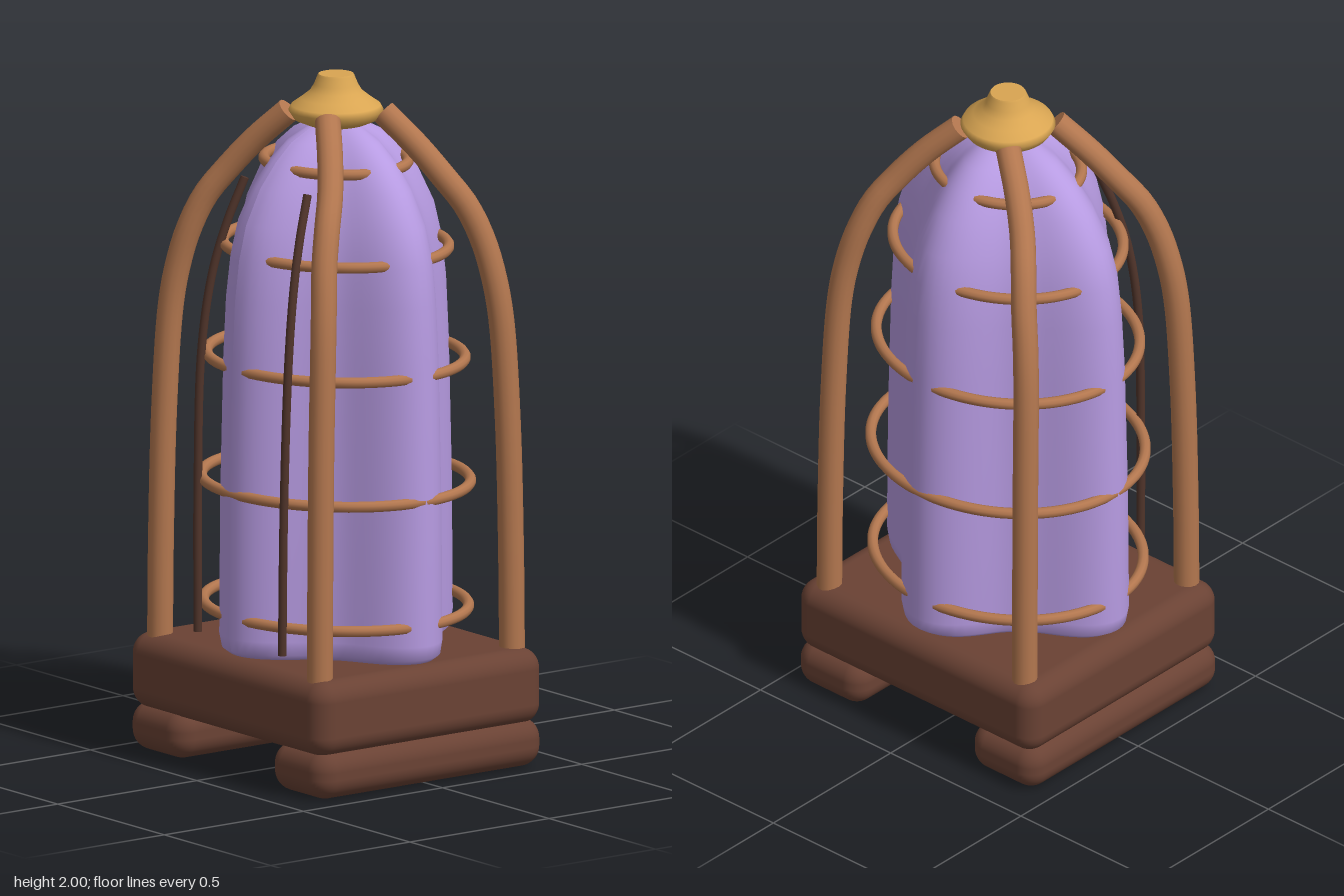
import * as THREE from 'three';
import { RoundedBoxGeometry } from 'three/addons/geometries/RoundedBoxGeometry.js';

const material = (name, color, side = THREE.FrontSide) => {
  const m = new THREE.MeshStandardMaterial({ color, side });
  m.name = name;
  return m;
};

// Smooth curve through [x, y, z] points
const curve = (points) => new THREE.CatmullRomCurve3(points.map((p) => new THREE.Vector3(...p)));

// Four-lobed draped cover: profile rows are [height, half width, half depth]
function coverGeometry() {
  const keys = [
    [0.345, 0, 0], [0.345, 0.4, 0.355], [0.36, 0.422, 0.376], [0.4, 0.43, 0.385], [0.8, 0.426, 0.382],
    [1.2, 0.415, 0.372], [1.38, 0.404, 0.363], [1.5, 0.39, 0.348], [1.6, 0.36, 0.323], [1.7, 0.302, 0.272],
    [1.77, 0.24, 0.215], [1.82, 0.175, 0.16], [1.855, 0.1, 0.09], [1.87, 0, 0],
  ];
  const sides = 96, positions = [], index = [];
  keys.forEach(([y, w, d]) => {
    for (let i = 0; i <= sides; i++) {
      const a = (i / sides) * Math.PI * 2;
      const r = 0.72 + 0.28 * Math.pow((1 + Math.cos(4 * a)) / 2, 1.25);
      positions.push(Math.sin(a) * r * w, y, Math.cos(a) * r * d);
    }
  });
  for (let j = 0; j < keys.length - 1; j++) {
    for (let i = 0; i < sides; i++) {
      const a = j * (sides + 1) + i, b = a + sides + 1;
      index.push(a, a + 1, b + 1, a, b + 1, b);
    }
  }
  const g = new THREE.BufferGeometry();
  g.setAttribute('position', new THREE.Float32BufferAttribute(positions, 3));
  g.setIndex(index);
  g.computeVertexNormals();
  return g;
}

export function createModel() {
  const model = new THREE.Group();
  model.name = 'coveredCage';
  const cloth = material('lilacCloth', 0xb79be2, THREE.DoubleSide);
  const wood = material('cageWood', 0xb3774f);
  const brown = material('baseWood', 0x6a4234);
  const dark = material('darkSeam', 0x50342a);
  const gold = material('gold', 0xd9a552);

  const add = (name, geometry, mat, x = 0, y = 0, z = 0) => {
    const mesh = new THREE.Mesh(geometry, mat);
    mesh.name = name;
    mesh.position.set(x, y, z);
    model.add(mesh);
    return mesh;
  };

  // Tube along a path with flat end caps
  const rod = (name, points, radius, mat) => {
    const path = curve(points);
    const tube = add(name, new THREE.TubeGeometry(path, 48, radius, 14), mat);
    for (const t of [0, 1]) {
      const cap = new THREE.Mesh(new THREE.CircleGeometry(radius, 14), mat);
      cap.name = name + 'Cap';
      const end = path.getPoint(t);
      cap.position.copy(end);
      cap.lookAt(end.clone().addScaledVector(path.getTangent(t), t ? 1 : -1));
      tube.add(cap);
    }
  };

  // Base block on two runners
  add('base', new RoundedBoxGeometry(0.915, 0.222, 0.82, 5, 0.06), brown, 0, 0.234, 0);
  for (const s of [1, -1]) {
    add(s > 0 ? 'leftRunner' : 'rightRunner',
      new RoundedBoxGeometry(0.255, 0.142, 0.815, 5, 0.06), brown, s * 0.334, 0.071, 0);
  }

  add('cover', coverGeometry(), cloth);

  // Corner posts arching in to the crown
  for (const sx of [1, -1]) {
    for (const sz of [1, -1]) {
      const points = [
        [0.375, 0.33, 0.345], [0.374, 0.6, 0.343], [0.369, 1.0, 0.335], [0.358, 1.3, 0.32],
        [0.343, 1.42, 0.306], [0.318, 1.53, 0.285], [0.285, 1.63, 0.25], [0.24, 1.71, 0.205],
        [0.175, 1.8, 0.155], [0.092, 1.89, 0.1],
      ].map(([x, y, z]) => [x * sx, y, z * sz]);
      rod('cornerPost', points, 0.037, wood);
    }
  }

  // Hoops around the cover: [height, half width, half depth]
  for (const [y, w, d] of [[0.455, 0.405, 0.362], [0.82, 0.41, 0.368], [1.18, 0.394, 0.353],
    [1.505, 0.345, 0.308], [1.75, 0.22, 0.197]]) {
    const points = [];
    for (let i = 0; i < 24; i++) {
      const a = (i / 24) * Math.PI * 2;
      points.push([Math.sin(a) * w, y, Math.cos(a) * d]);
    }
    const ring = curve(points);
    ring.closed = true;
    add('hoop', new THREE.TubeGeometry(ring, 96, 0.016, 10, true), wood);
  }

  // Dark seams down the front
  for (const s of [1, -1]) {
    rod('frontSeam', [
      [0.198, 0.38, 0.345], [0.202, 0.8, 0.342], [0.203, 1.2, 0.328], [0.19, 1.42, 0.3],
      [0.17, 1.57, 0.262], [0.147, 1.7, 0.215],
    ].map(([x, y, z]) => [x * s, y, z]), 0.0125, dark);
  }

  // Crown finial
  const profile = [[0, 1.855], [0.085, 1.855], [0.12, 1.87], [0.136, 1.895], [0.128, 1.91], [0.1, 1.93],
    [0.075, 1.95], [0.063, 1.97], [0.053, 1.995], [0.05, 2.0], [0.05, 2.0], [0, 2.0]];
  add('crown', new THREE.LatheGeometry(profile.map(([x, y]) => new THREE.Vector2(x, y)), 40), gold);

  return model;
}
